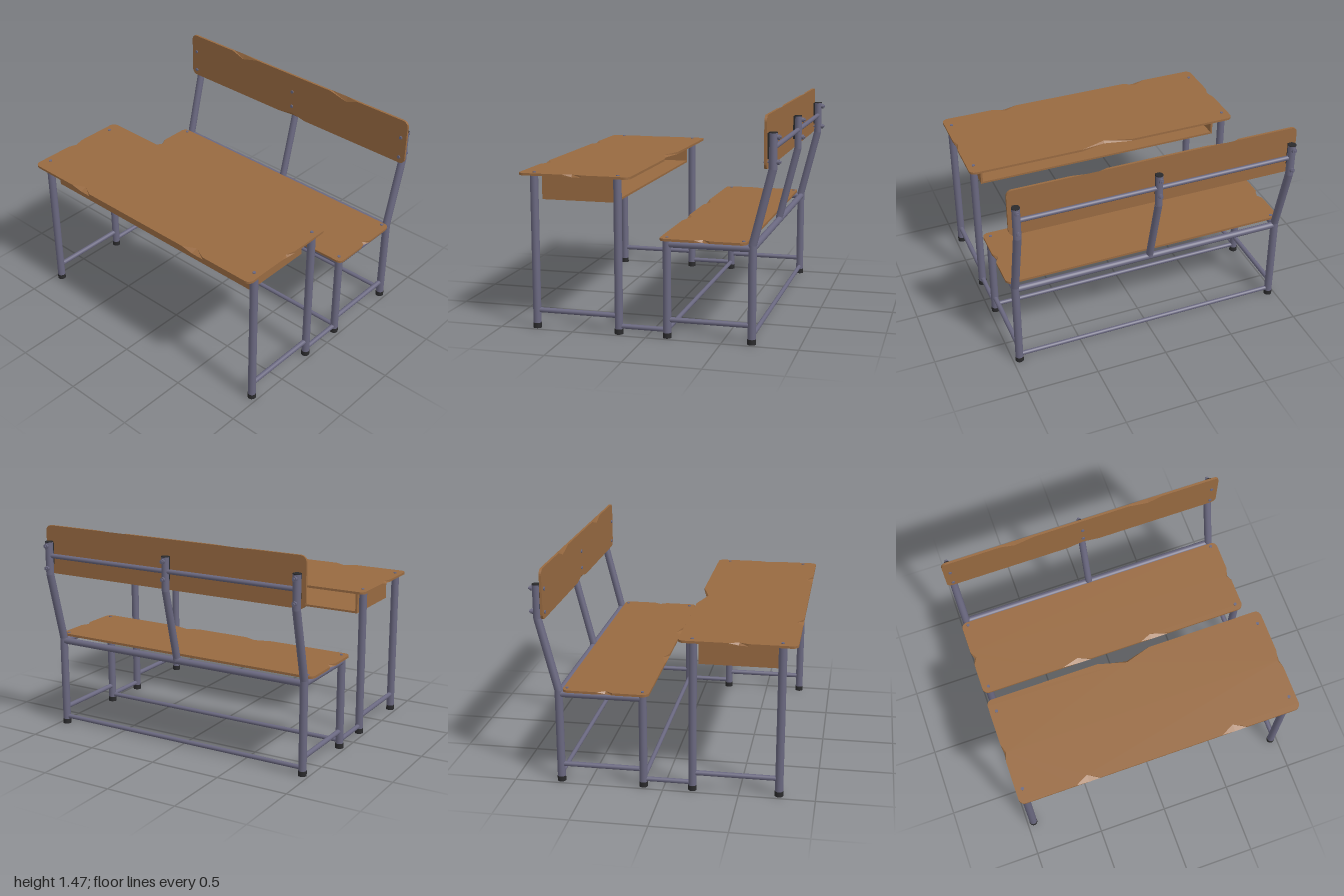
import * as THREE from 'three';

const wood = new THREE.MeshStandardMaterial({ color: 0x986a41 });
wood.name = 'wood';
const metal = new THREE.MeshStandardMaterial({ color: 0x6a6880 });
metal.name = 'paintedSteel';
const rubber = new THREE.MeshStandardMaterial({ color: 0x2a2a2c });
rubber.name = 'blackRubber';

const V = (x, y, z) => new THREE.Vector3(x, y, z);

function add(parent, name, geometry, material) {
  const mesh = new THREE.Mesh(geometry, material);
  mesh.name = name;
  parent.add(mesh);
  return mesh;
}

// Straight round bar between two points
function rod(parent, name, a, b, r, material = metal, sides = 20) {
  const mesh = add(parent, name, new THREE.CylinderGeometry(r, r, a.distanceTo(b), sides), material);
  mesh.position.copy(a).add(b).multiplyScalar(0.5);
  mesh.quaternion.setFromUnitVectors(V(0, 1, 0), b.clone().sub(a).normalize());
  return mesh;
}

function box(parent, name, size, pos, material) {
  add(parent, name, new THREE.BoxGeometry(...size), material).position.set(...pos);
}

// Rounded board in the XY plane with chipped edges, cut deepest at its +z face.
// A chip is [side, start, tip, end, depth, depthAtBack]; sides run 0 bottom, 1 right, 2 top, 3 left.
function board(w, h, t, chips, r = 0.04) {
  const points = [], tips = [];
  const onSide = (side, s, d) => [
    new THREE.Vector2(s, -h / 2 + d), new THREE.Vector2(w / 2 - d, s),
    new THREE.Vector2(s, h / 2 - d), new THREE.Vector2(-w / 2 + d, s),
  ][side];
  for (let side = 0; side < 4; side++) {
    const dir = side < 2 ? 1 : -1;
    chips.filter((c) => c[0] === side)
      .sort((a, b) => dir * (a[2] - b[2]))
      .forEach(([, start, tip, end, depth, low]) => {
        const ends = dir > 0 ? [start, end] : [end, start];
        const top = onSide(side, tip, depth);
        points.push(onSide(side, ends[0], 0), top, onSide(side, ends[1], 0));
        tips.push([top, onSide(side, tip, low)]);
      });
    // corner that ends this side
    const cx = (side < 2 ? 1 : -1) * (w / 2 - r);
    const cy = (side === 1 || side === 2 ? 1 : -1) * (h / 2 - r);
    for (let i = 0; i <= 6; i++) {
      const a = (side - 1 + i / 6) * Math.PI / 2;
      points.push(new THREE.Vector2(cx + r * Math.cos(a), cy + r * Math.sin(a)));
    }
  }
  const geo = new THREE.ExtrudeGeometry(new THREE.Shape(points), { depth: t, bevelEnabled: false });
  // slope each chip by sliding its tip outward on the back face
  const p = geo.attributes.position;
  for (let i = 0; i < p.count; i++) {
    if (p.getZ(i) > t / 2) continue;
    for (const [from, to] of tips) {
      if (Math.hypot(p.getX(i) - from.x, p.getY(i) - from.y) < 1e-4) {
        p.setXY(i, to.x, to.y);
        break;
      }
    }
  }
  geo.computeVertexNormals();
  return geo;
}

export function createModel() {
  const model = new THREE.Group();
  model.name = 'schoolDeskWithBench';
  const X = 0.955, DF = 0.762, DB = 0.192, BF = -0.135, BB = -0.692, PZ = -0.813;

  // Desk top
  const deskTop = board(2, 0.76, 0.016, [
    [0, -0.61, -0.52, -0.44, 0.045, 0], [0, 0.43, 0.52, 0.61, 0.045, 0],
    [2, -0.2, 0, 0.18, 0.055, 0.042],
    [1, -0.07, -0.01, 0.06, 0.02, 0.008], [3, -0.07, -0.01, 0.06, 0.02, 0.008],
  ]).rotateX(-Math.PI / 2);
  add(model, 'deskTop', deskTop, wood).position.set(0, 1.03, 0.48);

  // Book box under the desk, open toward the bench
  const T = 0.014;
  box(model, 'bookBoxFloor', [1.8, T, 0.51], [0, 0.86 + T / 2, 0.475], wood);
  box(model, 'bookBoxFront', [1.8, 0.17 - T, T], [0, 0.945 + T / 2, 0.73 - T / 2], wood);
  for (const s of [-1, 1]) {
    box(model, 'bookBoxSide', [T, 0.17 - T, 0.51 - T], [s * (0.9 - T / 2), 0.945 + T / 2, 0.475 - T / 2], wood);
  }

  // Bench seat
  const seat = board(2, 0.57, 0.016, [
    [0, -0.4, -0.28, -0.19, 0.035, 0], [0, 0.2, 0.28, 0.41, 0.035, 0],
    [1, -0.05, 0, 0.05, 0.03, 0.015], [3, -0.05, 0, 0.05, 0.03, 0.015],
  ]).rotateX(-Math.PI / 2);
  add(model, 'seat', seat, wood).position.set(0, 0.647, -0.375);

  // Backrest
  const backrest = board(2, 0.335, 0.016, [
    [2, -0.58, -0.48, -0.34, 0.035, 0], [2, 0.34, 0.48, 0.58, 0.035, 0],
    [0, -0.12, 0, 0.12, 0.025, 0],
  ]);
  add(model, 'backrest', backrest, wood).position.set(0, 1.2975, -0.78);

  // Bent post carrying the backrest
  const post = (x, r) => {
    const path = [V(x, 0.62, BB), V(x, 0.645, BB), V(x, 1.13, PZ), V(x, 1.355, PZ)];
    for (let i = 0; i < 3; i++) rod(model, 'backPost', path[i], path[i + 1], r);
    for (const c of path.slice(1, 3)) {
      add(model, 'backPostBend', new THREE.SphereGeometry(r, 20, 12), metal).position.copy(c);
    }
    rod(model, 'postCap', V(x, 1.354, PZ), V(x, 1.36, PZ), r, rubber);
    box(model, 'backrestSpacer', [0.03, 0.16, 0.014], [x, 1.275, -0.787], rubber);
  };

  // Side frames
  for (const s of [-1, 1]) {
    const x = s * X;
    for (const [z, top] of [[DF, 1.03], [DB, 1.03], [BF, 0.645], [BB, 0.645]]) {
      rod(model, 'leg', V(x, 0.03, z), V(x, top, z), 0.027);
      rod(model, 'foot', V(x, 0, z), V(x, 0.035, z), 0.0285, rubber);
    }
    rod(model, 'deskSideRail', V(x, 0.122, DB), V(x, 0.122, DF), 0.017);
    rod(model, 'benchSideRail', V(x, 0.122, BB), V(x, 0.122, BF), 0.017);
    rod(model, 'linkRail', V(x, 0.053, BF), V(x, 0.053, DB), 0.016);
    rod(model, 'seatSideRail', V(x, 0.622, BB), V(x, 0.622, BF), 0.0235);
    post(x, 0.027);
  }
  post(0, 0.025);

  // Long rails
  for (const z of [BF, BB]) {
    rod(model, 'seatLongRail', V(-X, 0.622, z), V(X, 0.622, z), 0.0225);
    rod(model, 'floorLongRail', V(-X, 0.053, z), V(X, 0.053, z), 0.015);
  }
  rod(model, 'backLongRail', V(-X, 1.26, PZ), V(X, 1.26, PZ), 0.016);

  // Bolt heads on the desk top and seat
  for (const s of [-1, 1]) {
    for (const [y, z] of [[1.046, 0.76], [1.046, 0.19], [0.663, -0.135], [0.663, -0.635]]) {
      rod(model, 'boltHead', V(s * 0.953, y - 0.005, z), V(s * 0.953, y + 0.005, z), 0.011, metal, 12);
    }
  }

  // Bolts through the backrest and posts, with hex nuts behind
  for (const [x, y] of [[-X, 1.33], [-X, 1.175], [X, 1.33], [X, 1.175], [0, 1.33], [0, 1.21]]) {
    rod(model, 'backBolt', V(x, y, -0.757), V(x, y, -0.863), 0.009, metal, 12);
    rod(model, 'backBoltHead', V(x, y, -0.757), V(x, y, -0.766), 0.012, metal, 12);
    rod(model, 'hexNut', V(x, y, -0.838), V(x, y, -0.854), 0.017, metal, 6);
  }
  return model;
}
